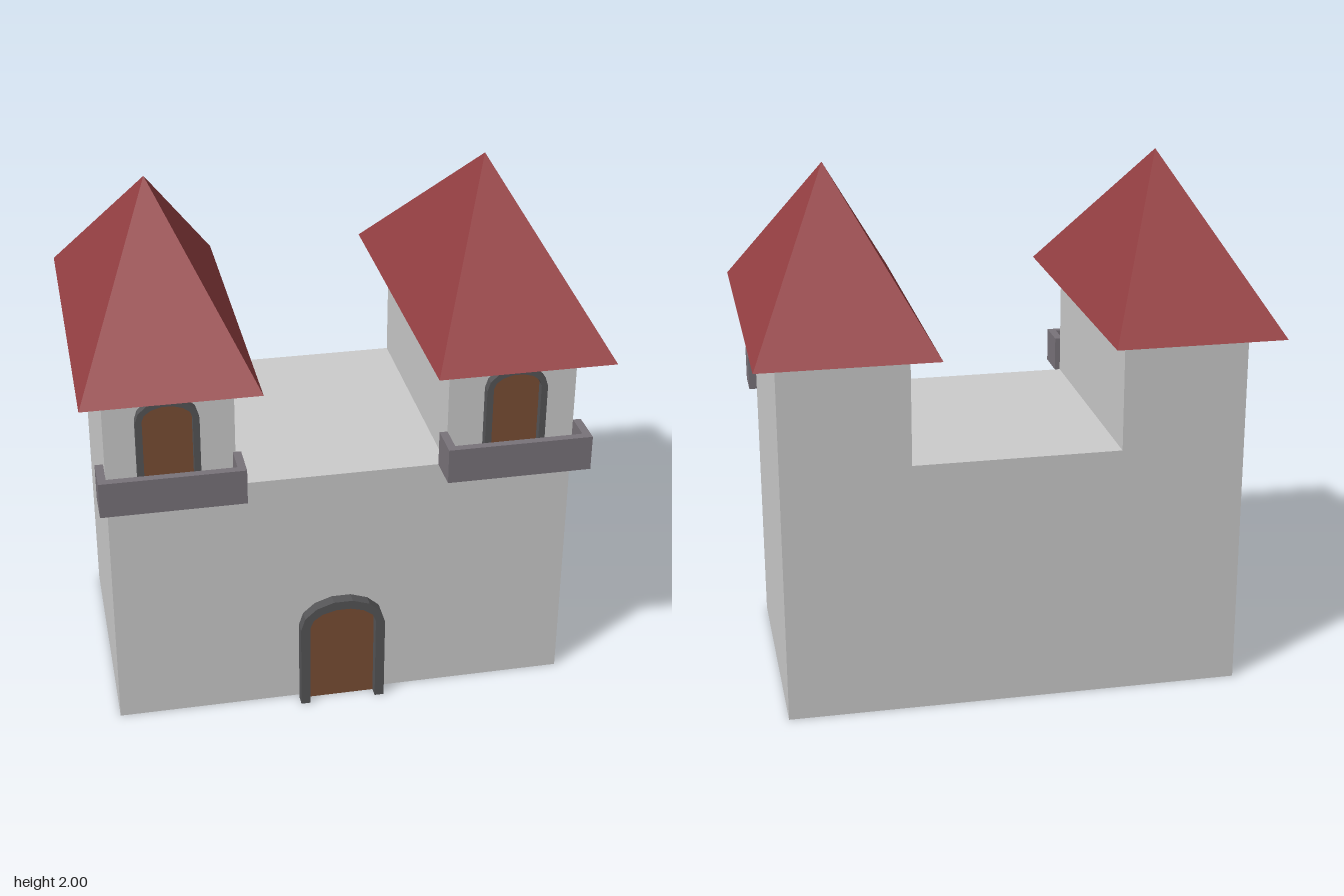
import * as THREE from 'three';

const mat = (color, side = THREE.FrontSide) =>
  new THREE.MeshStandardMaterial({ color, side, flatShading: true });
const stone = mat(0xcccccc, THREE.DoubleSide);
const roofRed = mat(0x943f42);
const trim = mat(0x555557);
const wood = mat(0x7a4e35, THREE.DoubleSide);
const ledge = mat(0x79737a);

function add(parent, name, geometry, material, x = 0, y = 0, z = 0) {
  const mesh = new THREE.Mesh(geometry, material);
  mesh.name = name;
  mesh.position.set(x, y, z);
  parent.add(mesh);
  return mesh;
}

// Remove triangles lying flat at a given height, leaving the shell open there
function openAt(geometry, height) {
  const g = geometry.index ? geometry.toNonIndexed() : geometry;
  const p = g.attributes.position;
  const kept = [];
  for (let i = 0; i < p.count; i += 3) {
    if ([0, 1, 2].every(k => Math.abs(p.getY(i + k) - height) < 1e-4)) continue;
    for (let k = 0; k < 3; k++) kept.push(p.getX(i + k), p.getY(i + k), p.getZ(i + k));
  }
  const out = new THREE.BufferGeometry();
  out.setAttribute('position', new THREE.Float32BufferAttribute(kept, 3));
  out.computeVertexNormals();
  return out;
}

// Outline of an opening: straight jambs and a faceted elliptical head
function archPoints(halfWidth, shoulder, rise) {
  const points = [new THREE.Vector2(-halfWidth, 0), new THREE.Vector2(halfWidth, 0)];
  const n = 7;
  for (let i = 0; i <= n; i++) {
    const a = (i / n) * Math.PI;
    points.push(new THREE.Vector2(halfWidth * Math.cos(a), shoulder + rise * Math.sin(a)));
  }
  return points;
}

// Arched doorway: protruding frame around a recessed wooden panel
function doorway(name, halfWidth, shoulder, rise, border, depth) {
  const group = new THREE.Group();
  group.name = name;
  const outer = archPoints(halfWidth, shoulder, rise);
  const inner = archPoints(halfWidth - border, shoulder + border * 0.2, rise - border * 1.2);
  // The frame is an upside-down U: up the outside, back down the inside
  const frame = new THREE.Shape([
    ...outer.slice(1), outer[0], inner[0], ...inner.slice(2).reverse(), inner[1],
  ]);
  const extrude = { depth, bevelEnabled: false };
  add(group, 'archFrame', new THREE.ExtrudeGeometry(frame, extrude), trim);
  add(group, 'doorPanel', new THREE.ShapeGeometry(new THREE.Shape(inner)), wood, 0, 0, depth * 0.15);
  return group;
}

// Balcony: floor slab with a parapet on three sides
function balcony(width) {
  const group = new THREE.Group();
  group.name = 'balcony';
  const h = 0.135, d = 0.14, t = 0.03;
  add(group, 'balconyFloor', new THREE.BoxGeometry(width - 2 * t, 0.02, d - t), ledge, 0, 0.01, (d - t) / 2);
  add(group, 'balconyFront', new THREE.BoxGeometry(width, h, t), ledge, 0, h / 2, d - t / 2);
  for (const s of [-1, 1])
    add(group, 'balconySide', new THREE.BoxGeometry(t, h, d - t), ledge, s * (width - t) / 2, h / 2, (d - t) / 2);
  return group;
}

// Four-sided pyramid roof with a flat grey soffit
function roof(width, depth, height) {
  const group = new THREE.Group();
  group.name = 'roof';
  const pyramid = new THREE.ConeGeometry(Math.SQRT1_2, 1, 4, 1, true).rotateY(Math.PI / 4)
    .translate(0, 0.5, 0).scale(width, height, depth).toNonIndexed();
  pyramid.computeVertexNormals();
  add(group, 'roofSlopes', pyramid, roofRed);
  add(group, 'roofSoffit', new THREE.PlaneGeometry(width, depth).rotateX(Math.PI / 2), stone);
  return group;
}

export function createModel() {
  const model = new THREE.Group();
  model.name = 'castle';
  const eaves = 1.425, deck = 0.98, front = 0.49;

  // Walls: U-shaped shell, open below and closed by the soffits above
  const profile = new THREE.Shape([
    [-0.87, 0], [0.865, 0], [0.865, eaves], [0.385, eaves],
    [0.385, deck], [-0.4, deck], [-0.4, eaves], [-0.87, eaves],
  ].map(([x, y]) => new THREE.Vector2(x, y)));
  const walls = new THREE.ExtrudeGeometry(profile, { depth: 2 * front, bevelEnabled: false });
  walls.translate(0, 0, -front);
  add(model, 'walls', openAt(openAt(walls, 0), eaves), stone);

  // Main gate
  const gate = doorway('gate', 0.163, 0.343, 0.115, 0.036, 0.045);
  gate.position.set(-0.012, 0, 0.505);
  model.add(gate);

  // Towers: roof, balcony and balcony door each
  const towers = [
    { name: 'rightTower', roofX: -0.638, roofW: 0.633, roofD: 1.33, door: -0.643, ledgeX: -0.642, ledgeW: 0.525 },
    { name: 'leftTower', roofX: 0.625, roofW: 0.653, roofD: 1.34, door: 0.633, ledgeX: 0.625, ledgeW: 0.54 },
  ];
  for (const t of towers) {
    const tower = new THREE.Group();
    tower.name = t.name;
    const top = roof(t.roofW, t.roofD, 2 - eaves);
    top.position.set(t.roofX, eaves, 0);
    const shelf = balcony(t.ledgeW);
    shelf.position.set(t.ledgeX, deck, front);
    const door = doorway('balconyDoor', 0.114, 0.285, 0.082, 0.024, 0.034);
    door.position.set(t.door, 1.0, front + 0.001);
    tower.add(top, shelf, door);
    model.add(tower);
  }
  return model;
}
